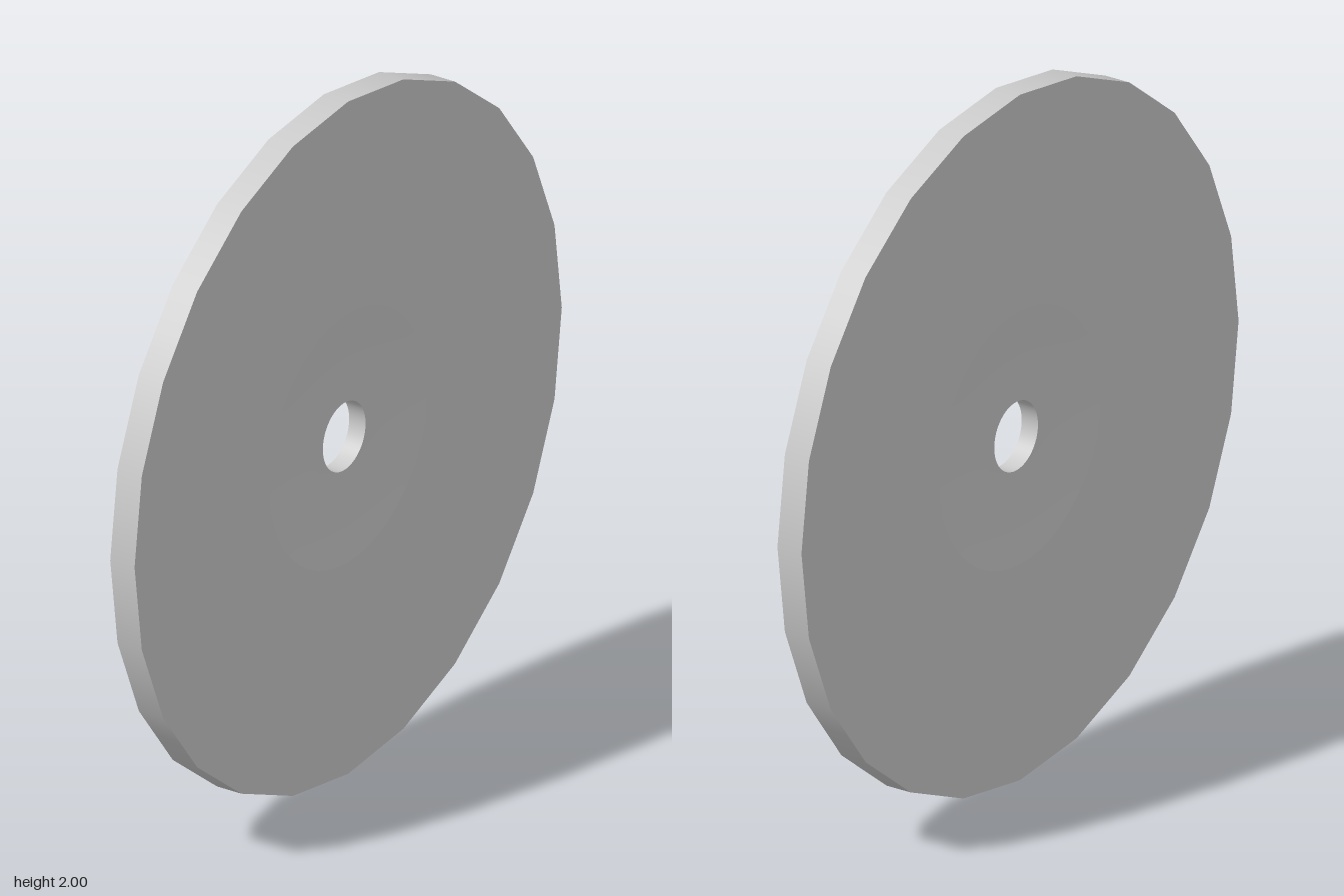
import * as THREE from 'three';

const SIDES = 24;          // straight sides on the outer edge
const SEGMENTS = SIDES * 2; // finer division for the round hole and hollows
const R = 1, HOLLOW = 0.37, HOLE = 0.1, T = 0.04, DEPTH = 0.013;

// Turns a (radius, z) profile around the z axis
function turned(name, profile, material) {
  const geo = new THREE.LatheGeometry(profile.map(([r, z]) => new THREE.Vector2(r, z)), SEGMENTS);
  // Pull every second outer vertex onto the chord so the outline has straight sides
  const pos = geo.attributes.position;
  const chord = Math.cos(Math.PI / SIDES);
  for (let i = 0; i < pos.count; i++) {
    const ring = Math.floor(i / profile.length);
    const r = profile[i % profile.length][0];
    if (r === R && ring % 2) pos.setXYZ(i, pos.getX(i) * chord, pos.getY(i), pos.getZ(i) * chord);
  }
  geo.rotateX(Math.PI / 2);
  const mesh = new THREE.Mesh(geo, material);
  mesh.name = name;
  return mesh;
}

export function createModel() {
  const material = new THREE.MeshStandardMaterial({ color: 0xcccccc });
  const group = new THREE.Group();
  group.name = 'disc';

  // Shallow bowl: steepest at its outer edge, level at the hole
  const bowl = [];
  for (let i = 0; i <= 8; i++) {
    const k = i / 8;
    bowl.push([HOLLOW + (HOLE - HOLLOW) * k, T - DEPTH * (1 - (1 - k) ** 2)]);
  }
  const mirror = (profile) => profile.map(([r, z]) => [r, -z]).reverse();
  const face = [[R, T], [HOLLOW, T]];
  const inner = T - DEPTH;

  group.add(
    turned('rim', [[R, -T], [R, T]], material),
    turned('frontFace', face, material),
    turned('frontHollow', bowl, material),
    turned('holeWall', [[HOLE, inner], [HOLE, -inner]], material),
    turned('backHollow', mirror(bowl), material),
    turned('backFace', mirror(face), material),
  );
  group.children.forEach((part) => { part.position.y = R; });
  return group;
}
